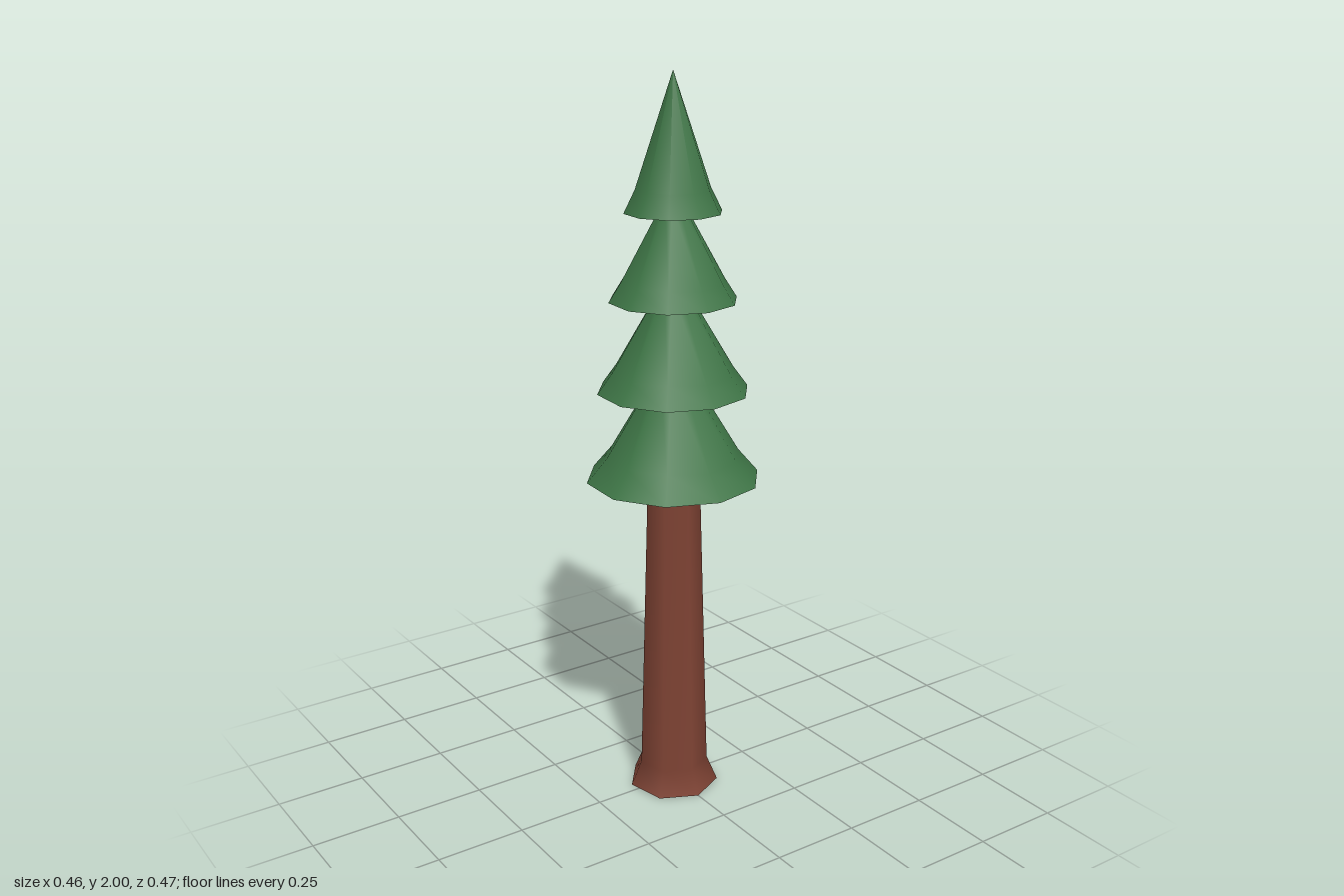
import * as THREE from 'three';

const bark = new THREE.MeshStandardMaterial({ color: 0x7d4233 });
bark.name = 'bark brown';
const needles = new THREE.MeshStandardMaterial({ color: 0x3e7546 });
needles.name = 'needle green';
const shade = new THREE.MeshStandardMaterial({ color: 0x08211a });
shade.name = 'underside dark green';

// Spin a [radius, height] profile, listed bottom to top, around the y axis
function spin(name, profile, sides, turn, material) {
  const points = profile.map(([r, y]) => new THREE.Vector2(r, y));
  const mesh = new THREE.Mesh(new THREE.LatheGeometry(points, sides, turn), material);
  mesh.name = name;
  return mesh;
}

// Each tier: [skirt radius, y], [shoulder radius, y], [top radius, y]
const TIERS = [
  [[0.237, 0.925], [0.182, 0.99], [0.05, 1.21]],
  [[0.205, 1.17], [0.165, 1.225], [0.035, 1.445]],
  [[0.172, 1.415], [0.14, 1.465], [0.03, 1.665]],
  [[0.13, 1.645], [0.1, 1.705], [0, 2]],
];

export function createModel() {
  const tree = new THREE.Group();
  tree.name = 'pineTree';

  // Seven-sided tapering trunk with a flared foot
  tree.add(spin('trunk', [[0.127, 0], [0.097, 0.07], [0.073, 0.93]], 7, 0, bark));
  tree.add(spin('trunkBase', [[0, 0], [0.127, 0]], 7, 0, bark));

  // Four stacked ten-sided skirts of needles, dark underneath
  const turn = -0.055;
  TIERS.forEach((profile, i) => {
    const tier = new THREE.Group();
    tier.name = `foliageTier${i + 1}`;
    const [r, y] = profile[0];
    tier.add(spin('needleSkirt', profile, 10, turn, needles));
    tier.add(spin('underside', [[0, y], [r, y]], 10, turn, shade));
    tree.add(tier);
  });
  return tree;
}
